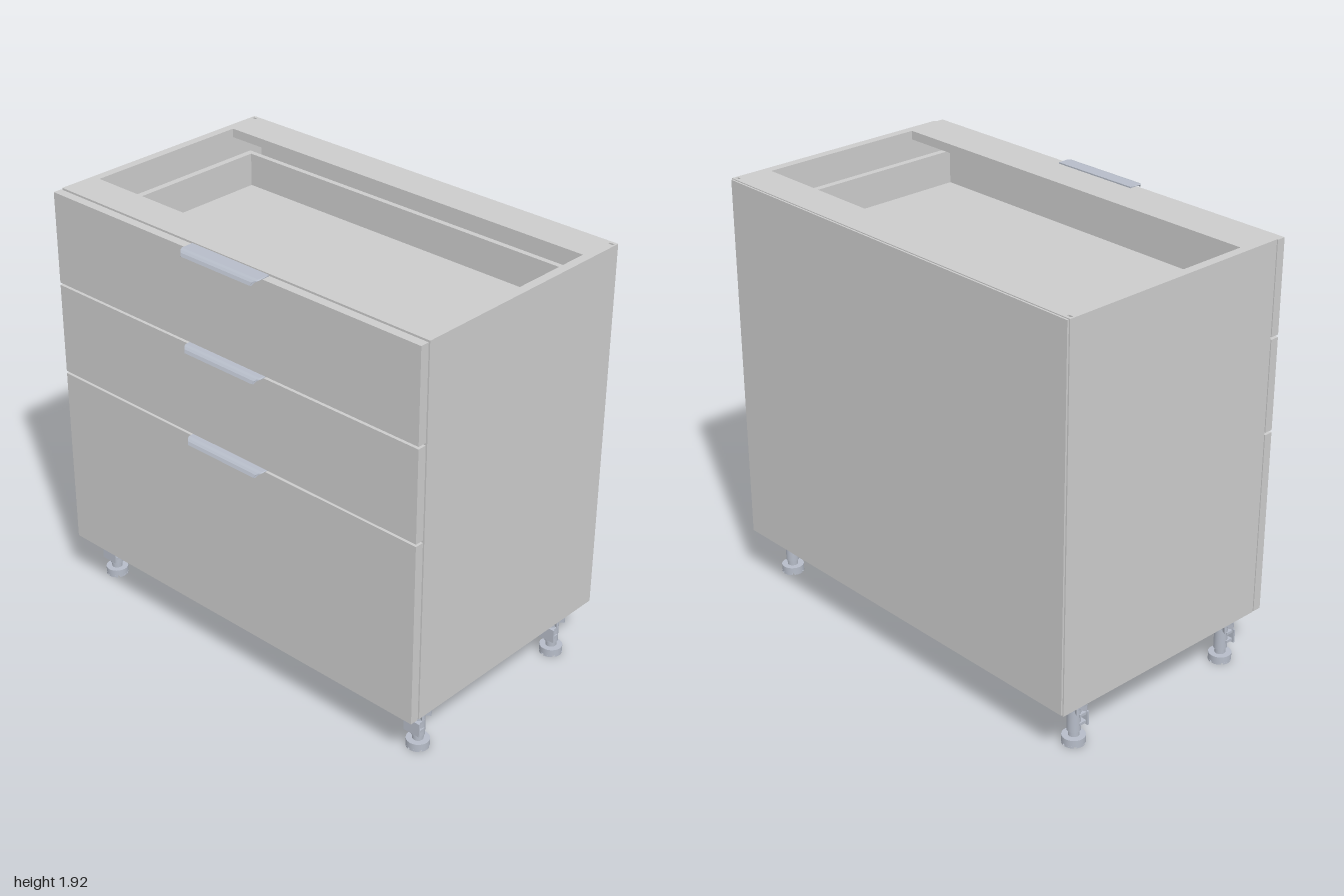
import * as THREE from 'three';

const grey = new THREE.MeshStandardMaterial({ color: 0xcccccc });
const metal = new THREE.MeshStandardMaterial({ color: 0xb6bcc8, side: THREE.DoubleSide });

function add(parent, name, geometry, material = grey) {
  const mesh = new THREE.Mesh(geometry, material);
  mesh.name = name;
  parent.add(mesh);
  return mesh;
}

// Box given by its minimum and maximum on each axis
function block(parent, name, [x0, x1], [y0, y1], [z0, z1], material = grey) {
  const mesh = add(parent, name, new THREE.BoxGeometry(x1 - x0, y1 - y0, z1 - z0), material);
  mesh.position.set((x0 + x1) / 2, (y0 + y1) / 2, (z0 + z1) / 2);
  return mesh;
}

function disc(parent, name, rTop, rBottom, y0, y1, sides = 24) {
  const mesh = add(parent, name, new THREE.CylinderGeometry(rTop, rBottom, y1 - y0, sides), metal);
  mesh.position.y = (y0 + y1) / 2;
  return mesh;
}

// Upright side panel with a small vertical slot near its back edge
function sidePanel(parent, side) {
  const shape = new THREE.Shape();
  shape.moveTo(-0.02, -0.518).lineTo(0.02, -0.518).lineTo(0.02, 0.604).lineTo(-0.02, 0.604).closePath();
  const slot = new THREE.Path();
  slot.moveTo(-0.011, 0.58).lineTo(-0.011, 0.591).lineTo(0.011, 0.591).lineTo(0.011, 0.58).closePath();
  shape.holes.push(slot);
  const geometry = new THREE.ExtrudeGeometry(shape, { depth: 1.685, bevelEnabled: false });
  geometry.rotateX(-Math.PI / 2);
  const panel = add(parent, side > 0 ? 'leftPanel' : 'rightPanel', geometry);
  panel.position.set(side * 0.98, 0.23, 0);
}

// Edge pull: thin plate whose lip curls down and narrows at the corners
function handle(parent, top) {
  const profile = [[0.528, 0], [0.585, 0], [0.597, -0.003], [0.606, -0.01], [0.612, -0.023],
    [0.607, -0.023], [0.601, -0.013], [0.594, -0.008], [0.584, -0.006], [0.528, -0.006]];
  const shape = new THREE.Shape(profile.map(([z, y]) => new THREE.Vector2(-z, y)));
  const geometry = new THREE.ExtrudeGeometry(shape, { depth: 0.42, bevelEnabled: false });
  geometry.translate(0, 0, -0.21).rotateY(Math.PI / 2);
  const p = geometry.attributes.position;
  for (let i = 0; i < p.count; i++) {
    const t = Math.max(0, (p.getZ(i) - 0.58) / 0.032);
    p.setX(i, p.getX(i) * (1 - 0.11 * t * t));
  }
  geometry.computeVertexNormals();
  add(parent, 'handle', geometry, metal).position.y = top;
}

// Front, box and handle of one drawer
function drawer(parent, name, y0, y1, boxHeight, handleTop) {
  const group = new THREE.Group();
  group.name = name;
  const rim = y1 - 0.115, floor = rim - boxHeight;
  block(group, 'drawerFront', [-0.999, 0.999], [y0, y1], [0.525, 0.565]);
  for (const s of [-1, 1]) {
    const xs = [s * 0.905, s * 0.935].sort((a, b) => a - b);
    block(group, 'drawerSide', xs, [floor - 0.02, rim], [-0.51, 0.525]);
    const rail = [s * 0.935, s * 0.96].sort((a, b) => a - b);
    block(group, 'slide', rail, [floor - 0.02, floor + 0.03], [-0.5, 0.51]);
  }
  block(group, 'drawerBack', [-0.905, 0.905], [floor, rim], [-0.51, -0.485]);
  block(group, 'drawerBottom', [-0.905, 0.905], [floor - 0.02, floor], [-0.51, 0.525]);
  handle(group, handleTop);
  parent.add(group);
}

// Adjustable leg with a mounting flange, plinth clip and slotted foot
function leg(parent, x, z) {
  const group = new THREE.Group();
  group.name = 'leg';
  disc(group, 'flange', 0.055, 0.052, 0.187, 0.23);
  disc(group, 'collar', 0.036, 0.03, 0.165, 0.187);
  disc(group, 'stem', 0.029, 0.029, 0.06, 0.187);
  disc(group, 'adjuster', 0.024, 0.024, 0.03, 0.06, 12);
  disc(group, 'foot', 0.05, 0.05, 0.008, 0.036);
  for (let i = 0; i < 6; i++) {
    const a = (i * Math.PI) / 3;
    const pad = add(group, 'footPad', new THREE.CylinderGeometry(0.05, 0.05, 0.008, 6, 1, false, a, 0.85), metal);
    pad.position.y = 0.004;
    const rib = add(group, 'flangeRib', new THREE.BoxGeometry(0.008, 0.05, 0.026), metal);
    rib.position.set(Math.sin(a) * 0.04, 0.172, Math.cos(a) * 0.04);
    rib.scale.y = 0.6;
    rib.rotation.y = a;
  }
  block(group, 'clipPlate', [-0.041, 0.041], [0.082, 0.146], [0.036, 0.044], metal);
  for (const y of [0.09, 0.13]) block(group, 'clipArm', [-0.033, 0.033], [y, y + 0.012], [0, 0.037], metal);
  group.position.set(x, 0, z);
  parent.add(group);
}

export function createModel() {
  const model = new THREE.Group();
  model.name = 'drawerCabinet';

  // Carcass, open between the two top rails
  const carcass = new THREE.Group();
  carcass.name = 'carcass';
  model.add(carcass);
  sidePanel(carcass, -1);
  sidePanel(carcass, 1);
  block(carcass, 'bottomPanel', [-0.96, 0.96], [0.23, 0.27], [-0.59, 0.518]);
  block(carcass, 'backRail', [-0.96, 0.96], [1.875, 1.915], [-0.604, -0.43]);
  block(carcass, 'frontRail', [-0.96, 0.96], [1.875, 1.915], [0.35, 0.518]);
  block(carcass, 'backPanel', [-0.994, 0.994], [0.236, 1.911], [-0.612, -0.604]);

  // Two shallow drawers over one deep drawer
  drawer(model, 'topDrawer', 1.499, 1.911, 0.15, 1.917);
  drawer(model, 'middleDrawer', 1.076, 1.488, 0.15, 1.496);
  drawer(model, 'bottomDrawer', 0.23, 1.065, 0.5, 1.073);

  for (const x of [-0.915, 0.915]) for (const z of [-0.46, 0.42]) leg(model, x, z);
  return model;
}
